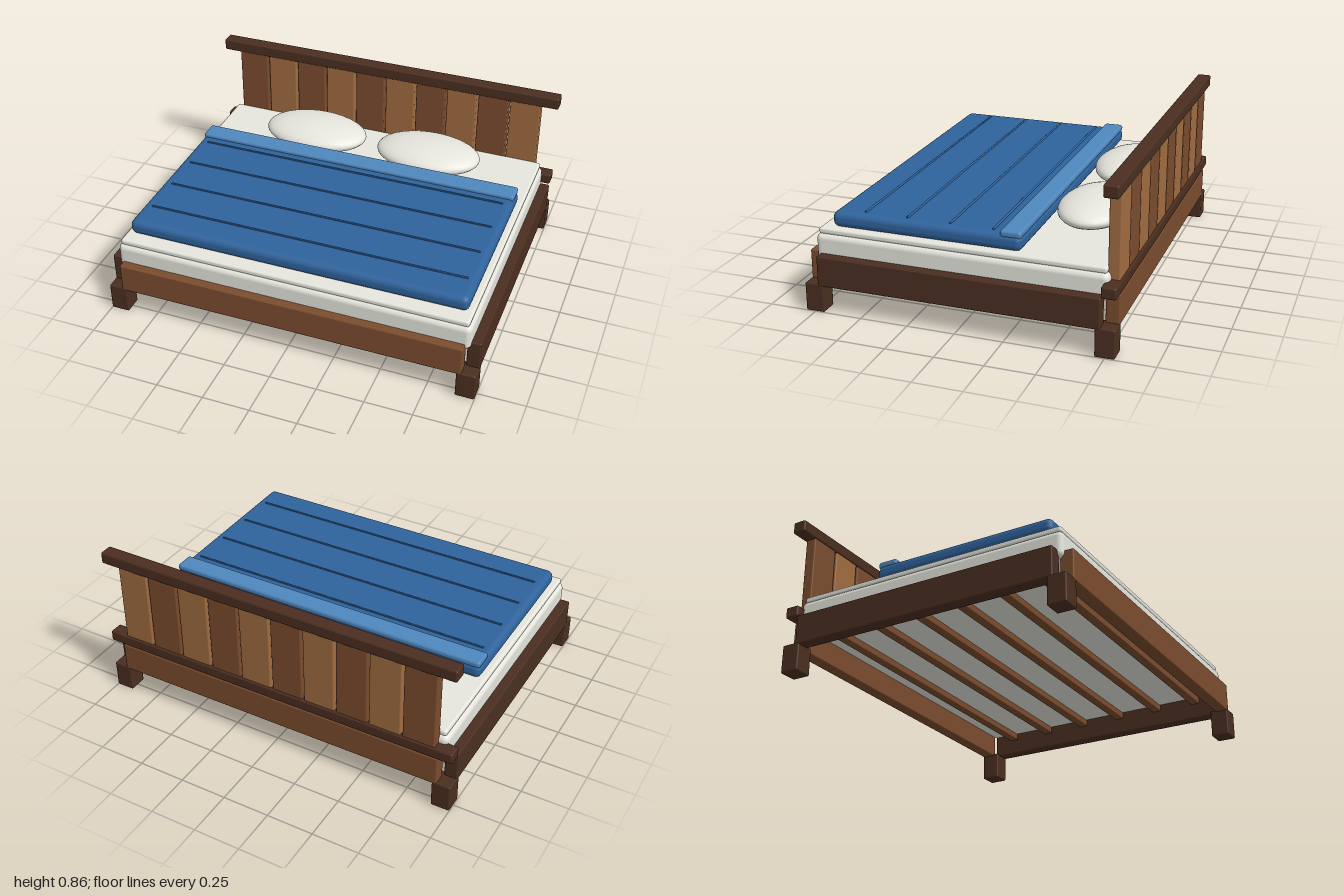
import * as THREE from 'three';
import { RoundedBoxGeometry } from 'three/addons/geometries/RoundedBoxGeometry.js';

const mat = (color) => new THREE.MeshStandardMaterial({ color });

export function createModel() {
  const bed = new THREE.Group();
  bed.name = 'bed';
  const darkWood = mat(0x4a2e20), midWood = mat(0x7a4c2e), lightWood = mat(0xa06c40);
  const linen = mat(0xe6e6de), blue = mat(0x2f639c), lightBlue = mat(0x4f87bd);

  // Rounded block given by its extents along each axis
  function block(name, material, [x0, x1], [y0, y1], [z0, z1], radius = 0.008) {
    const geometry = new RoundedBoxGeometry(x1 - x0, y1 - y0, z1 - z0, 3, radius);
    const mesh = new THREE.Mesh(geometry, material);
    mesh.position.set((x0 + x1) / 2, (y0 + y1) / 2, (z0 + z1) / 2);
    mesh.name = name;
    bed.add(mesh);
    return mesh;
  }

  // Legs and side rails, mirrored left and right
  for (const side of [-1, 1]) {
    const label = side > 0 ? 'left' : 'right';
    const span = (a, b) => (side > 0 ? [a, b] : [-b, -a]);
    block(label + 'FrontLeg', darkWood, span(0.9, 1), [0, 0.15], [0.7, 0.8]);
    block(label + 'BackLeg', darkWood, span(0.9, 1), [0, 0.15], [-0.8, -0.7]);
    block(label + 'SideRail', darkWood, span(0.93, 1), [0.14, 0.3], [-0.725, 0.73]);
  }

  // End rails
  block('footRail', midWood, [-0.925, 0.925], [0.14, 0.3], [0.73, 0.8]);
  block('headRail', midWood, [-0.925, 0.925], [0.14, 0.3], [-0.8, -0.73]);

  // Headboard: two rails with planks in alternating tones
  block('headboardLowerRail', darkWood, [-1, 1], [0.3, 0.36], [-0.8, -0.725], 0.01);
  block('headboardTopRail', darkWood, [-1, 1], [0.79, 0.855], [-0.8, -0.725], 0.01);
  const pitch = 0.1815, halfPlank = 0.0855;
  for (let i = 0; i < 10; i++) {
    const x = (i - 4.5) * pitch;
    block('headboardPlank', i % 2 ? lightWood : midWood,
      [x - halfPlank, x + halfPlank], [0.33, 0.81], [-0.79, -0.73]);
  }

  // Slats under the mattress
  for (let i = 0; i < 6; i++) {
    const z = (i - 2.5) * 0.24;
    block('slat', midWood, [-0.94, 0.94], [0.225, 0.262], [z - 0.025, z + 0.025], 0.005);
  }

  // Mattress and fitted top layer
  block('mattress', linen, [-0.95, 0.95], [0.26, 0.4], [-0.748, 0.755], 0.03);
  block('mattressTopper', linen, [-0.935, 0.935], [0.396, 0.428], [-0.735, 0.742], 0.012);

  // Quilt with turned-down edge and stitched seams
  block('quilt', blue, [-0.91, 0.91], [0.428, 0.51], [-0.31, 0.68], 0.033);
  block('quiltFold', lightBlue, [-0.905, 0.905], [0.494, 0.53], [-0.307, -0.2], 0.014);
  for (let i = 0; i < 4; i++) {
    const z = -0.153 + i * 0.223;
    block('quiltSeam', blue, [-0.86, 0.86], [0.504, 0.516], [z - 0.006, z + 0.006], 0.004);
  }

  // Pillows
  for (const side of [-1, 1]) {
    const pillow = new THREE.Mesh(new THREE.SphereGeometry(1, 32, 20), linen);
    pillow.scale.set(0.296, 0.071, 0.19);
    pillow.position.set(side * 0.336, 0.492, -0.514);
    pillow.name = side > 0 ? 'leftPillow' : 'rightPillow';
    bed.add(pillow);
  }

  return bed;
}
